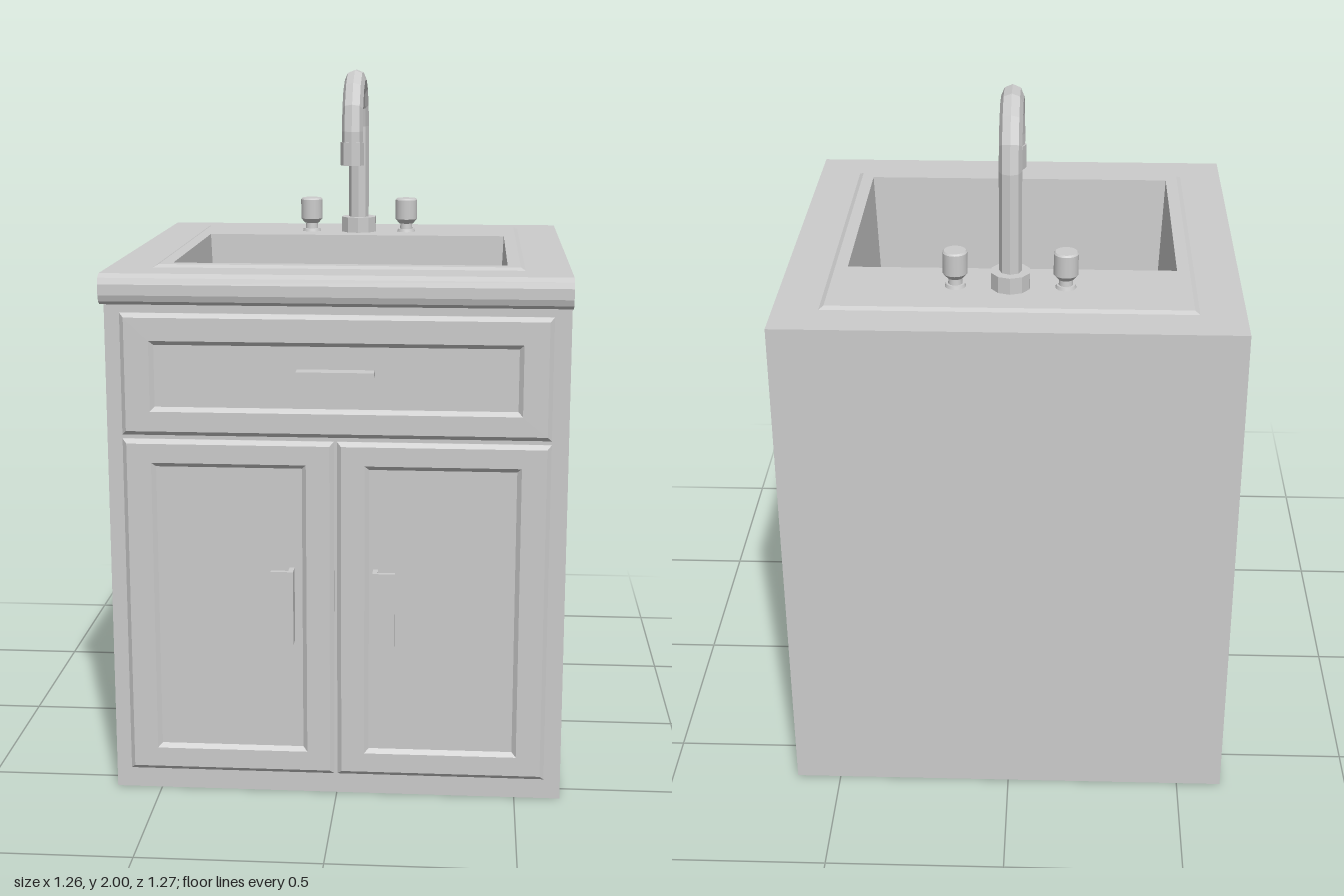
import * as THREE from 'three';

const grey = new THREE.MeshStandardMaterial({ color: 0xcccccc, flatShading: true });
const smooth = new THREE.MeshStandardMaterial({ color: 0xcccccc });

function add(parent, name, geometry, x = 0, y = 0, z = 0, material = grey) {
  const mesh = new THREE.Mesh(geometry, material);
  mesh.name = name;
  mesh.position.set(x, y, z);
  parent.add(mesh);
  return mesh;
}

// Joins nested rectangles [x0, x1, y0, y1, z] into stepped faces and caps the last one.
function loftRects(rects) {
  const pos = [];
  const corners = ([x0, x1, y0, y1, z]) => [[x0, y0, z], [x1, y0, z], [x1, y1, z], [x0, y1, z]];
  const quad = (a, b, c, d) => pos.push(...a, ...b, ...c, ...a, ...c, ...d);
  for (let i = 0; i < rects.length - 1; i++) {
    const a = corners(rects[i]), b = corners(rects[i + 1]);
    for (let j = 0; j < 4; j++) {
      const k = (j + 1) % 4;
      quad(a[j], a[k], b[k], b[j]);
    }
  }
  quad(...corners(rects[rects.length - 1]));
  const g = new THREE.BufferGeometry();
  g.setAttribute('position', new THREE.Float32BufferAttribute(pos, 3));
  g.computeVertexNormals();
  return g;
}

// Bevelled front with a sunken centre panel.
function panelGeometry([x0, x1, y0, y1], [u0, u1, v0, v1]) {
  const b = 0.012;
  return loftRects([
    [x0, x1, y0, y1, 0.56],
    [x0, x1, y0, y1, 0.568],
    [x0 + b, x1 - b, y0 + b, y1 - b, 0.579],
    [u0, u1, v0, v1, 0.579],
    [u0 + b, u1 - b, v0 + b, v1 - b, 0.568],
  ]);
}

function polygon(points) {
  return new THREE.Shape(points.map(([x, y]) => new THREE.Vector2(x, y)));
}

// Upright block with a rectangular opening for the basin.
function openBlock(height) {
  const shape = polygon([[-0.628, -0.565], [0.628, -0.565], [0.628, 0.635], [-0.628, 0.635]]);
  shape.holes.push(polygon([[-0.475, -0.46], [-0.475, 0.265], [0.475, 0.265], [0.475, -0.46]]));
  return new THREE.ExtrudeGeometry(shape, { depth: height, bevelEnabled: false }).rotateX(-Math.PI / 2);
}

// L-section pull, extruded along its length and centred.
function pullGeometry(length) {
  const s = polygon([[0, 0], [0.043, 0], [0.043, -0.062], [0.03, -0.062], [0.03, -0.014], [0, -0.014]]);
  return new THREE.ExtrudeGeometry(s, { depth: length, bevelEnabled: false })
    .translate(0, 0, -length / 2).rotateY(-Math.PI / 2);
}

// Straight riser followed by a faceted half-circle bend.
function spoutGeometry() {
  const bends = 7, rings = bends + 2, r = 0.15, top = 1.82;
  const g = new THREE.CylinderGeometry(0.031, 0.031, rings, 8, rings, false);
  const p = g.attributes.position;
  for (let i = 0; i < p.count; i++) {
    const ring = Math.round(p.getY(i) + rings / 2), x = p.getX(i), z = p.getZ(i);
    const a = THREE.MathUtils.clamp((ring - 1) / bends, 0, 1) * Math.PI;
    const drop = ring === 0 ? 0.32 : ring === rings ? 0.06 : 0;
    p.setXYZ(i, x, top - drop + (r - z) * Math.sin(a), -0.212 - (r - z) * Math.cos(a));
  }
  g.computeVertexNormals();
  return g;
}

export function createModel() {
  const model = new THREE.Group();
  model.name = 'sinkCabinet';

  // Cabinet
  add(model, 'cabinetBody', openBlock(1.39), 0, 0.01, 0);
  add(model, 'cabinetBottom', new THREE.BoxGeometry(1.256, 0.01, 1.2), 0, 0.005, -0.035);

  // Countertop with a rounded front nose
  add(model, 'countertop', openBlock(0.083), 0, 1.4, 0);
  const nose = polygon([[0.565, 1.4], [0.618, 1.4], [0.632, 1.41], [0.638, 1.427],
    [0.638, 1.456], [0.632, 1.473], [0.615, 1.483], [0.565, 1.483]]);
  add(model, 'countertopNose', new THREE.ExtrudeGeometry(nose, { depth: 1.256, bevelEnabled: false })
    .translate(0, 0, -0.628).rotateY(-Math.PI / 2).scale(-1, 1, 1).rotateY(0), 0, 0, 0)
    .geometry.dispose();
  model.remove(model.getObjectByName('countertopNose'));
  const noseGeometry = new THREE.ExtrudeGeometry(nose, { depth: 1.256, bevelEnabled: false });
  add(model, 'countertopNose', noseGeometry.translate(0, 0, -0.628).rotateY(-Math.PI / 2));

  // Sink rim and basin in one stepped surface
  add(model, 'sinkBasin', loftRects([
    [-0.51, 0.51, -0.497, 0.52, 1.48],
    [-0.492, 0.492, -0.477, 0.502, 1.49],
    [-0.457, 0.457, -0.442, 0.247, 1.49],
    [-0.442, 0.442, -0.428, 0.235, 1.15],
  ]).rotateX(-Math.PI / 2));

  // Drawer and doors
  add(model, 'drawerFront', panelGeometry([-0.586, 0.582, 1.033, 1.37], [-0.507, 0.503, 1.1, 1.295]));
  add(model, 'rightDoor', panelGeometry([-0.586, -0.006, 0.058, 1.022], [-0.507, -0.082, 0.125, 0.957]));
  add(model, 'leftDoor', panelGeometry([0.002, 0.582, 0.058, 1.022], [0.078, 0.503, 0.125, 0.957]));

  // Pulls
  add(model, 'drawerPull', pullGeometry(0.21), 0, 1.222, 0.574);
  add(model, 'rightDoorPull', pullGeometry(0.21), -0.115, 0.56, 0.574).rotation.z = -Math.PI / 2;
  add(model, 'leftDoorPull', pullGeometry(0.21), 0.102, 0.56, 0.574).rotation.z = Math.PI / 2;

  // Faucet
  const faucet = new THREE.Group();
  faucet.name = 'faucet';
  model.add(faucet);
  add(faucet, 'faucetBase', new THREE.CylinderGeometry(0.055, 0.055, 0.05, 10), 0, 1.512, -0.364);
  add(faucet, 'spout', spoutGeometry());
  add(faucet, 'spoutTip', new THREE.CylinderGeometry(0.035, 0.035, 0.068, 8), 0, 1.754, -0.062);

  // Taps
  const tapSections = [[0.026, 0.03, 0.012, 1.493], [0.018, 0.02, 0.022, 1.508],
    [0.034, 0.022, 0.014, 1.523], [0.034, 0.034, 0.06, 1.56], [0.03, 0.034, 0.005, 1.5925]];
  for (const side of [-1, 1]) {
    const tap = new THREE.Group();
    tap.name = side < 0 ? 'rightTap' : 'leftTap';
    tap.position.set(side * 0.15, 0, -0.364);
    for (const [top, bottom, h, y] of tapSections)
      add(tap, 'tapSection', new THREE.CylinderGeometry(top, bottom, h, 18), 0, y, 0, smooth);
    model.add(tap);
  }
  return model;
}
